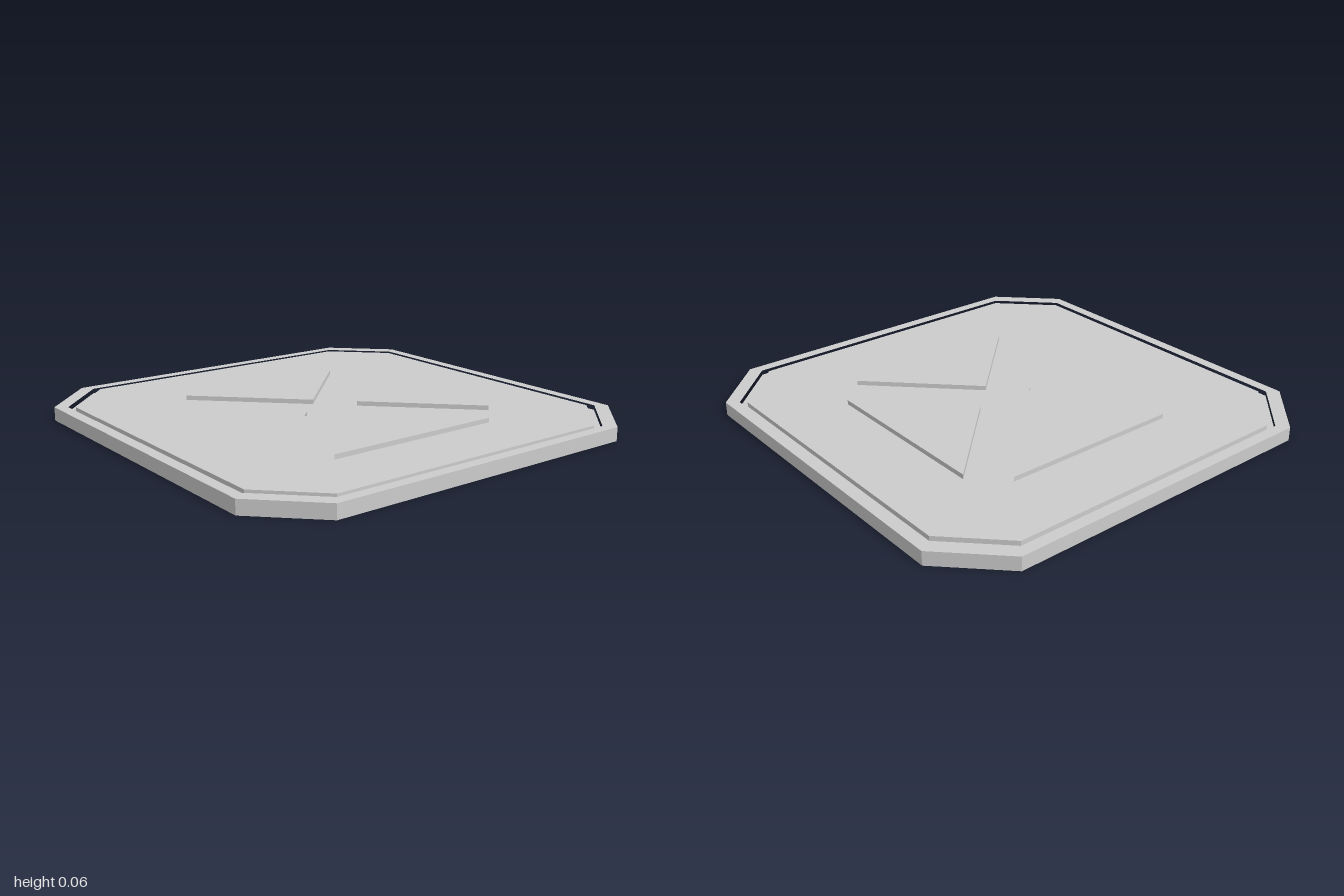
import * as THREE from 'three';

const HEIGHT = 0.062;
const FLOOR = 0.041; // level of the recessed surfaces

const material = new THREE.MeshStandardMaterial({ color: 0xcccccc, flatShading: true });

// Square with cut corners: half width r, straight edges reaching to +-c
function octagon(r, c) {
  return [[c, r], [-c, r], [-r, c], [-r, -c], [-c, -r], [c, -r], [r, -c], [r, c]];
}

function toPoints(list) {
  return list.map(([x, z]) => new THREE.Vector2(x, -z));
}

// Extrudes an outline given in (x, z) from y0 up to y1
function slab(name, outline, y0, y1, hole) {
  const shape = new THREE.Shape(toPoints(outline));
  if (hole) shape.holes.push(new THREE.Path(toPoints(hole)));
  const geometry = new THREE.ExtrudeGeometry(shape, { depth: y1 - y0, bevelEnabled: false });
  geometry.rotateX(-Math.PI / 2);
  geometry.translate(0, y0, 0);
  const mesh = new THREE.Mesh(geometry, material);
  mesh.name = name;
  return mesh;
}

export function createModel() {
  const model = new THREE.Group();
  model.name = 'floorPlate';

  // Outer rim and the floor within it
  const grooveOuter = octagon(0.95, 0.713);
  model.add(slab('rim', octagon(1, 0.75), 0, HEIGHT, grooveOuter));
  model.add(slab('base', grooveOuter, 0, FLOOR));

  // Raised panel inside the groove, with the cross-shaped recess cut out
  const recess = [
    [-0.567, -0.76], [0.567, -0.76], [0.757, -0.57], [0.757, 0.565], [0.567, 0.753],
    [0.42, 0.56], [0, 0.14], [-0.42, 0.56], [-0.567, 0.753], [-0.757, 0.565], [-0.757, -0.57],
  ];
  model.add(slab('panel', octagon(0.924, 0.69), FLOOR, HEIGHT, recess));

  // Three raised triangles between the arms of the cross
  const triangle = [[-0.425, -0.567], [0.425, -0.567], [0, -0.144]];
  ['backTriangle', 'leftTriangle', 'rightTriangle'].forEach((name, i) => {
    const mesh = slab(name, triangle, FLOOR, HEIGHT);
    mesh.rotation.y = [0, -Math.PI / 2, Math.PI / 2][i];
    model.add(mesh);
  });

  return model;
}
